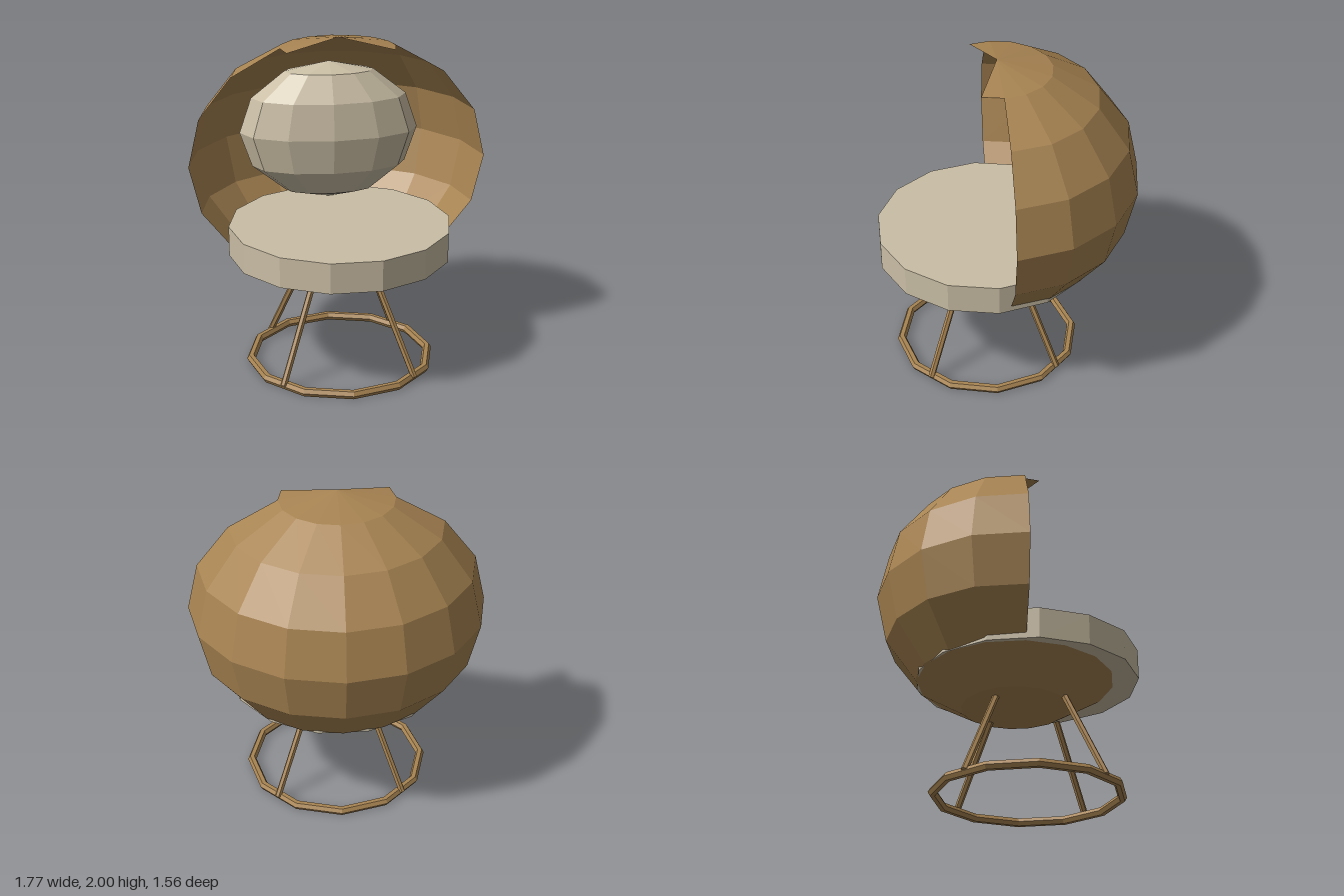
import * as THREE from 'three';

const wicker = new THREE.MeshStandardMaterial({ color: 0xa88452, flatShading: true, side: THREE.DoubleSide });
wicker.name = 'wicker brown';
const fabric = new THREE.MeshStandardMaterial({ color: 0xc9bda4, flatShading: true });
fabric.name = 'cream fabric';

function add(group, name, geometry, material, x = 0, y = 0, z = 0) {
  const mesh = new THREE.Mesh(geometry, material);
  mesh.name = name;
  mesh.position.set(x, y, z);
  group.add(mesh);
  return mesh;
}

// Faceted egg with its front opened: back half, full bowl below the seat, two small points at the crown
function shellGeometry() {
  const source = new THREE.SphereGeometry(1, 16, 8).scale(0.885, 0.75, 0.84).toNonIndexed();
  const p = source.attributes.position;
  const kept = [];
  for (let i = 0; i < p.count; i += 3) {
    const ids = [i, i + 1, i + 2];
    const maxZ = Math.max(...ids.map((k) => p.getZ(k)));
    const minY = Math.min(...ids.map((k) => p.getY(k)));
    const maxY = Math.max(...ids.map((k) => p.getY(k)));
    const back = maxZ < 0.001;
    const bowl = maxY < -0.52;
    const crown = minY > 0.68 && maxZ < 0.15;
    if (back || bowl || crown) ids.forEach((k) => kept.push(p.getX(k), p.getY(k), p.getZ(k)));
  }
  const geometry = new THREE.BufferGeometry();
  geometry.setAttribute('position', new THREE.Float32BufferAttribute(kept, 3));
  geometry.computeVertexNormals();
  return geometry;
}

// Round bar between two points
function bar(group, name, from, to, radius) {
  const dir = to.clone().sub(from);
  const mesh = add(group, name, new THREE.CylinderGeometry(radius, radius, dir.length(), 6), wicker);
  mesh.position.copy(from).add(to).multiplyScalar(0.5);
  mesh.quaternion.setFromUnitVectors(new THREE.Vector3(0, 1, 0), dir.normalize());
}

export function createModel() {
  const chair = new THREE.Group();
  chair.name = 'eggChair';

  add(chair, 'shell', shellGeometry(), wicker, 0, 1.25, 0.06);

  // Seat pad
  const seat = new THREE.CylinderGeometry(0.665, 0.665, 0.182, 14, 1, false, Math.PI / 14);
  add(chair, 'seatCushion', seat, fabric, 0, 0.806, 0.13);

  // Back pillow
  const pillow = new THREE.SphereGeometry(1, 12, 6).scale(0.555, 0.437, 0.26);
  add(chair, 'backCushion', pillow, fabric, 0, 1.327, -0.35);

  // Floor ring and four splayed legs
  const base = new THREE.Group();
  base.name = 'base';
  base.position.z = 0.132;
  chair.add(base);
  const ring = new THREE.TorusGeometry(0.548, 0.027, 6, 12).rotateX(Math.PI / 2);
  add(base, 'baseRing', ring, wicker, 0, 0.027, 0);
  for (const sx of [-1, 1]) {
    for (const sz of [-1, 1]) {
      bar(base, sz > 0 ? 'frontLeg' : 'backLeg',
        new THREE.Vector3(sx * 0.39, 0.03, sz * 0.39),
        new THREE.Vector3(sx * 0.198, 0.56, sz * 0.198), 0.02);
    }
  }
  return chair;
}
